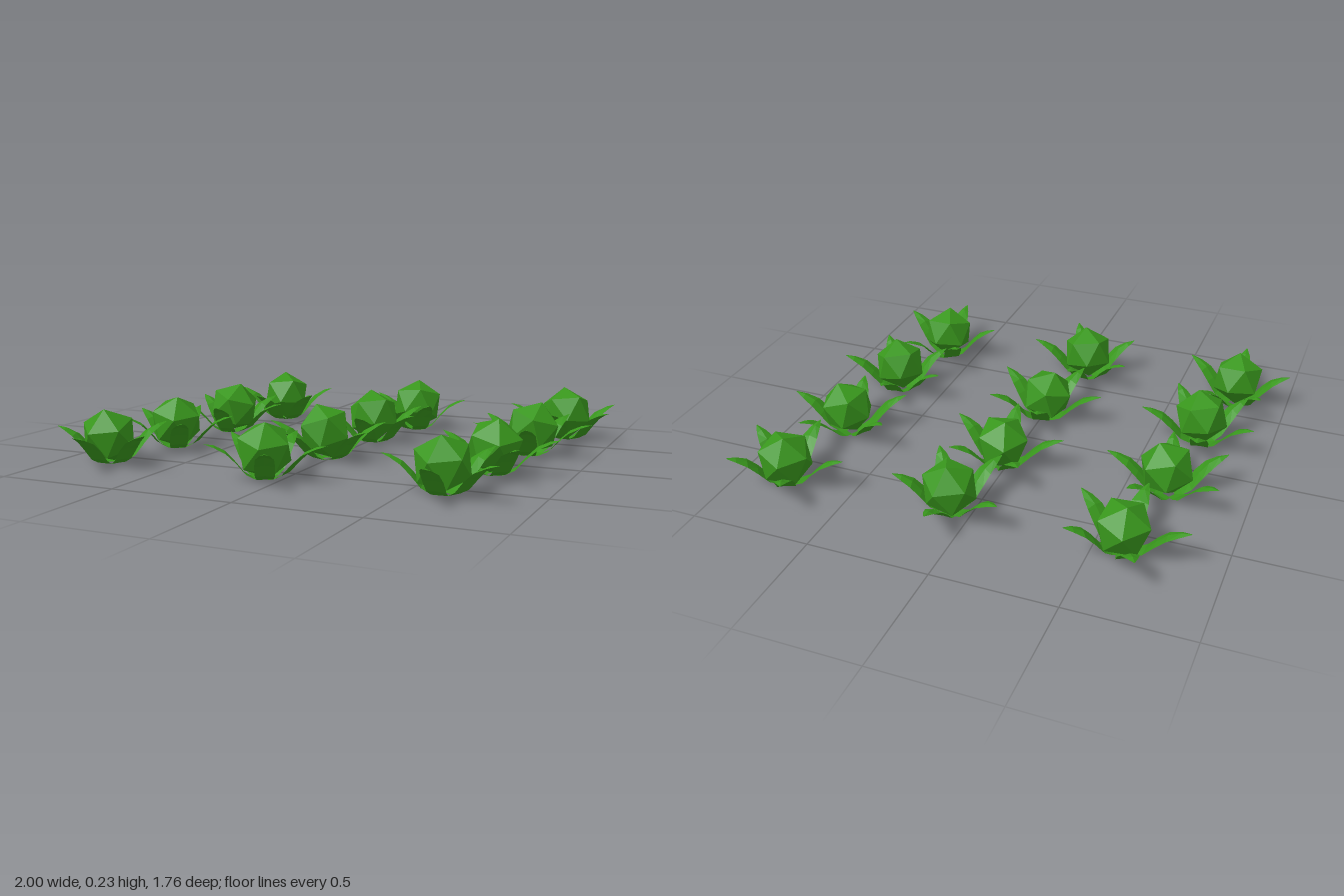
import * as THREE from 'three';

const green = new THREE.MeshStandardMaterial({ color: 0x38961c, flatShading: true, side: THREE.DoubleSide });

// Leaf along +x: cross-sections [fraction of length, height, half width, edge droop]
const SECTIONS = [
  [0.08, 0.003, 0.025, 0.0],
  [0.2, 0.01, 0.032, 0.0],
  [0.34, 0.032, 0.037, 0.003],
  [0.5, 0.08, 0.039, 0.006],
  [0.66, 0.12, 0.035, 0.009],
  [0.84, 0.142, 0.021, 0.008],
  [1.0, 0.148, 0.002, 0.0],
];

function leafGeometry(length) {
  const points = [], faces = [];
  SECTIONS.forEach(([f, y, w, droop], i) => {
    const x = f * length;
    points.push(x, y - droop, -w, x, y, 0, x, y - droop, w);
    if (i === 0) return;
    for (let j = 0; j < 2; j++) {
      const a = (i - 1) * 3 + j, b = a + 3;
      faces.push(a, a + 1, b, a + 1, b + 1, b);
    }
  });
  const g = new THREE.BufferGeometry();
  g.setAttribute('position', new THREE.Float32BufferAttribute(points, 3));
  g.setIndex(faces);
  const flat = g.toNonIndexed();
  flat.computeVertexNormals();
  return flat;
}

// Leaf fan: [angle in degrees, length]
const LEAVES = [[-1, 0.262], [78, 0.232], [146, 0.242], [210, 0.252], [296, 0.26]];

// Plants: [x, z, turn in degrees]
const PLANTS = [
  [-0.61, -0.61, -114], [0.085, -0.6, -91], [0.79, -0.65, -116],
  [-0.68, -0.19, 0], [0.025, -0.23, -125], [0.73, -0.22, 0],
  [-0.71, 0.235, 53], [-0.005, 0.19, 179], [0.7, 0.2, 53],
  [-0.775, 0.615, 89], [-0.07, 0.62, 63], [0.635, 0.58, 89],
];

export function createModel() {
  const model = new THREE.Group();
  model.name = 'cabbagePatch';
  const headGeometry = new THREE.IcosahedronGeometry(0.116, 0);
  const leafGeometries = LEAVES.map(([, length]) => leafGeometry(length));

  PLANTS.forEach(([x, z, turn], n) => {
    const plant = new THREE.Group();
    plant.name = `cabbage${n + 1}`;
    plant.position.set(x, 0, z);
    plant.rotation.y = -THREE.MathUtils.degToRad(turn);

    // Faceted head, tipped slightly
    const head = new THREE.Mesh(headGeometry, green);
    head.name = 'head';
    head.position.set(0.016, 0.119, 0);
    head.rotation.set(0.1, 0.4, 0.22);
    plant.add(head);

    // Outer leaves
    LEAVES.forEach(([angle], i) => {
      const leaf = new THREE.Mesh(leafGeometries[i], green);
      leaf.name = `leaf${i + 1}`;
      leaf.rotation.y = -THREE.MathUtils.degToRad(angle);
      plant.add(leaf);
    });
    model.add(plant);
  });
  return model;
}
